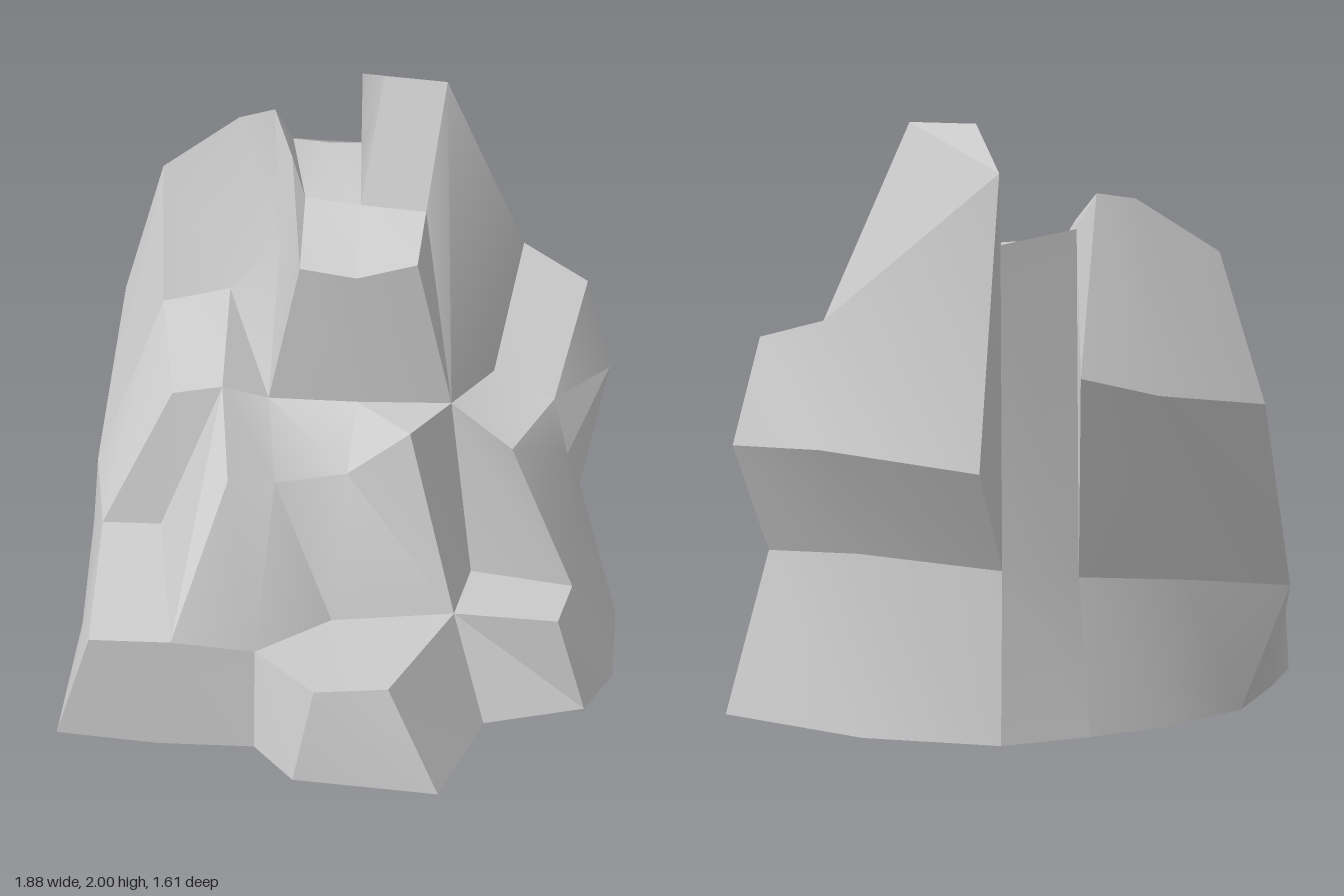
import * as THREE from 'three';
import { toCreasedNormals } from 'three/addons/utils/BufferGeometryUtils.js';

export function createModel() {
  const group = new THREE.Group();
  const material = new THREE.MeshStandardMaterial({ color: 0xcccccc, side: THREE.DoubleSide });

  function add(name, points, index) {
    const geo = new THREE.BufferGeometry();
    geo.setAttribute('position', new THREE.Float32BufferAttribute(points.flat(), 3));
    geo.setIndex(index);
    const mesh = new THREE.Mesh(toCreasedNormals(geo, 0.55), material);
    mesh.name = name;
    group.add(mesh);
  }
  // rock face lofted through rows, top row first, each running left to right seen from outside
  function loft(name, ...rows) {
    const n = rows[0].length, index = [], points = rows.flat();
    const same = (i, j) => points[i].every((v, k) => v === points[j][k]);
    const tri = (a, b, c) => { if (!same(a, b) && !same(b, c) && !same(a, c)) index.push(a, b, c); };
    for (let r = 0; r < rows.length - 1; r++)
      for (let c = 0; c < n - 1; c++) {
        const a = r * n + c, b = a + n;
        tri(a, b, b + 1);
        tri(a, b + 1, a + 1);
      }
    add(name, points, index);
  }
  // rock face spread from one corner over a counter-clockwise rim
  function fan(name, hub, rim) {
    const index = [];
    for (let i = 1; i < rim.length; i++) index.push(0, i, i + 1);
    add(name, [hub, ...rim], index);
  }

  // ground outline
  const baseTower = [[0.94, 0, -0.35], [0.45, 0.04, -0.66], [0, 0.04, -0.71]];
  const basePeak = [[-0.28, 0.04, -0.61], [-0.53, 0.04, -0.5], [-0.77, 0.04, -0.32]];
  const baseLeft = [basePeak[2], [-0.88, 0.05, -0.1], [-0.94, 0.06, 0.05], [-0.94, 0.07, 0.6]];
  const baseFront = [baseLeft[3], [-0.6, 0.04, 0.6], [-0.28, 0.04, 0.6]];
  const baseStep = [baseFront[2], [-0.14, 0.02, 0.75], [0.34, 0.02, 0.8], [0.48, 0.04, 0.42]];
  const baseFoot = [baseStep[3], [0.82, 0.03, 0.3], [0.92, 0.02, 0.08]];
  const baseRight = [baseFoot[2], [0.93, 0.01, -0.13], baseTower[0]];

  // tower corners
  const topL = [0.09, 2, -0.48], topR = [0.3, 2, -0.45], topBack = [0, 1.89, -0.77];
  const neckL = [0.02, 1.6, -0.33], neckR = [0.24, 1.6, -0.29];
  const cliffTop = [[-0.17, 1.46, -0.12], [0.02, 1.44, -0.1], [0.22, 1.49, -0.11]];
  const cliffFoot = [[-0.28, 0.97, -0.12], [0.02, 0.97, -0.11], [0.34, 0.97, -0.12]];
  const shoulderIn = [0.57, 1.38, -0.53], shoulderOut = [0.79, 1.3, -0.41];
  const gullyIn = [0.48, 0.97, -0.36], gullyOut = [0.69, 0.91, -0.28], gullyLip = [0.55, 0.86, -0.01];
  const towerBrow = [[0.88, 0.95, -0.45], [0.57, 1, -0.69], [0.06, 0.96, -0.81]];
  const towerUnder = [[0.79, 0.56, -0.31], [0.47, 0.62, -0.54], [0, 0.6, -0.64]];

  // left peak, saddle and spur corners
  const crest = [[-0.29, 1.81, -0.63], [-0.41, 1.79, -0.6], [-0.67, 1.62, -0.56]];
  const peakBrow = [[-0.25, 1.26, -0.78], [-0.49, 1.2, -0.74], [-0.82, 1.14, -0.58]];
  const peakUnder = [[-0.24, 0.56, -0.56], [-0.58, 0.53, -0.47], [-0.92, 0.49, -0.38]];
  const saddleL = [-0.22, 1.7, -0.48], saddleFront = [-0.17, 1.6, -0.38];
  const saddleBackL = [-0.23, 1.7, -0.64], saddleBackR = [0, 1.66, -0.71];
  const ridge = [-0.66, 1.2, -0.37];
  const spurTop = [[-0.6, 1.01, -0.06], [-0.43, 1.04, -0.06], [-0.39, 0.83, 0.21]];
  const spurBack = [[-0.84, 0.56, 0.05], [-0.64, 0.56, 0.05]];
  const spurTip = [[-0.82, 0.43, 0.58], [-0.55, 0.43, 0.58]];

  // front step, right foot and buttress corners
  const stepL = [-0.28, 0.365, 0.52], stepBack = [-0.04, 0.355, 0.3], stepR = [0.37, 0.365, 0.25];
  const stepA = [-0.07, 0.35, 0.72], stepB = [0.17, 0.35, 0.69];
  const footIn = [0.42, 0.36, -0.03], footBack = [0.77, 0.35, 0.03], footFront = [0.72, 0.36, 0.27];
  const buttressTop = [0.21, 0.97, 0.1];

  // tower
  loft('towerFront', [topL, topR], [neckL, neckR], [cliffTop[1], cliffTop[2]]);
  loft('towerTop', [topBack, shoulderIn], [topL, topR]);
  loft('towerBack', [shoulderOut, shoulderIn, topBack], towerBrow);
  loft('towerOverhang', towerBrow, towerUnder);
  loft('towerBackFoot', towerUnder, baseTower);
  fan('towerRightFace', cliffFoot[2], [gullyIn, shoulderIn, topR, neckR, cliffTop[2]]);
  fan('towerCleftWall', saddleBackR, [neckL, topL, topBack, towerBrow[2], towerUnder[2]]);

  // saddle and the cleft behind it
  loft('saddleFloor', [saddleBackL, [-0.1, 1.67, -0.68], saddleBackR], [saddleL, saddleFront, neckL]);
  loft('saddleFront', [saddleFront, neckL], [cliffTop[0], cliffTop[1]]);
  loft('cleftBack', [saddleBackR, saddleBackL], [towerUnder[2], peakUnder[0]], [baseTower[2], basePeak[0]]);

  // left peak
  loft('peakBack', crest, peakBrow);
  loft('peakOverhang', peakBrow, peakUnder);
  loft('peakBackFoot', peakUnder, basePeak);
  fan('peakCleftWall', saddleBackL, [peakUnder[0], peakBrow[0], crest[0], saddleL]);
  loft('peakFront',
    [crest[2], crest[1], crest[0], saddleL, saddleFront],
    [ridge, [-0.43, 1.25, -0.38], [-0.26, 1.4, -0.4], [-0.24, 1.4, -0.35], cliffTop[0]],
    [spurTop[0], spurTop[1], cliffFoot[0], cliffFoot[0], cliffFoot[0]]);
  loft('peakFlank', [crest[2], ridge, spurTop[0]], [peakBrow[2], [-0.89, 0.65, -0.22], spurBack[0]]);
  loft('leftFlank',
    [peakBrow[2], [-0.89, 0.65, -0.22], spurBack[0], spurTip[0]],
    [peakUnder[2], [-0.91, 0.42, -0.2], [-0.89, 0.3, 0.05], [-0.88, 0.25, 0.59]],
    baseLeft);

  // spur
  loft('spurSlope', spurTop, [...spurBack, spurTip[1]]);
  loft('spurLedge', spurBack, spurTip);
  loft('spurFront', [...spurTip, stepL], baseFront);

  // middle cliff, terrace and slope
  loft('cliff', cliffTop, cliffFoot);
  loft('terraceAndSlope',
    [spurTop[1], ...cliffFoot],
    [spurTop[2], [-0.24, 0.79, 0.14], [0, 0.81, 0.1], buttressTop],
    [spurTip[1], stepL, stepBack, stepR]);

  // front step
  fan('stepTop', stepBack, [stepL, stepA, stepB, stepR]);
  loft('stepSides', [stepL, stepA, stepB, stepR], baseStep);

  // right shoulder, buttress and foot
  loft('gully', [shoulderIn, shoulderOut], [gullyIn, gullyOut], [cliffFoot[2], gullyLip]);
  loft('buttressSide', [buttressTop, cliffFoot[2]], [stepR, footIn]);
  loft('buttressFront', [cliffFoot[2], gullyLip], [footIn, footBack]);
  loft('footTop', [footIn, footBack], [stepR, footFront]);
  loft('footSides', [stepR, footFront, footBack], baseFoot);
  loft('rightFlank',
    [gullyLip, gullyOut, shoulderOut],
    [[0.66, 0.605, 0.01], [0.74, 0.74, -0.2], towerBrow[0]],
    [footBack, [0.78, 0.48, -0.12], towerUnder[0]],
    baseRight);

  // underside
  const outline = [baseTower, baseRight, baseFoot, baseStep, baseFront, baseLeft, basePeak]
    .flatMap((row, i) => (i === 0 || i === 6 ? [...row].reverse() : i < 3 ? [...row].reverse() : [...row].reverse()));
  fan('underside', [0, 0.04, 0], [...outline, outline[0]]);

  return group;
}
